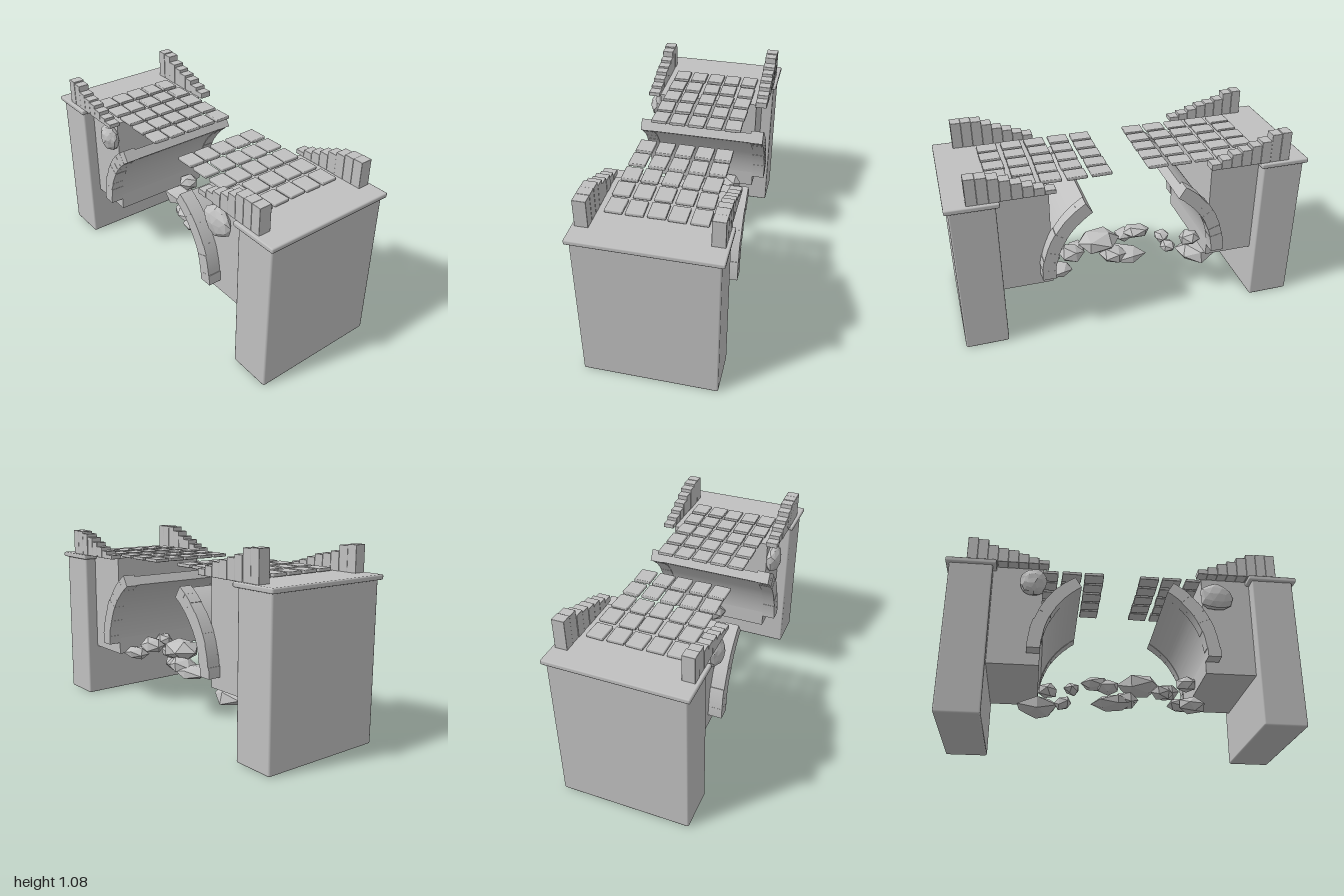
import * as THREE from 'three';
import { RoundedBoxGeometry } from 'three/addons/geometries/RoundedBoxGeometry.js';
import { toCreasedNormals } from 'three/addons/utils/BufferGeometryUtils.js';

const stone = new THREE.MeshStandardMaterial({ color: 0xc0c0c0 });
stone.name = 'stone';

// Small seeded generator for the irregular masonry
let seed = 7;
const rand = () => {
  seed = (seed * 16807) % 2147483647;
  return seed / 2147483647;
};
const jitter = (a) => (rand() * 2 - 1) * a;

function add(parent, name, geometry, x = 0, y = 0, z = 0) {
  const mesh = new THREE.Mesh(geometry, stone);
  mesh.name = name;
  mesh.position.set(x, y, z);
  parent.add(mesh);
  return mesh;
}

// Bevelled block given by its lower and upper corners
function block(parent, name, x0, x1, y0, y1, z0, z1, bevel = 0.006) {
  return add(parent, name, new RoundedBoxGeometry(x1 - x0, y1 - y0, z1 - z0, 1, bevel),
    (x0 + x1) / 2, (y0 + y1) / 2, (z0 + z1) / 2);
}

// Part of an arch ring between two radii and two angles, extruded along z
function arcSector(r0, r1, a0, a1, depth, segments) {
  const shape = new THREE.Shape();
  shape.absarc(0, 0, r1, a0, a1, false);
  shape.absarc(0, 0, r0, a1, a0, true);
  const g = new THREE.ExtrudeGeometry(shape, { depth, bevelEnabled: false, curveSegments: segments });
  return toCreasedNormals(g, 0.5);
}

// Faceted stone: icosahedron with each corner pushed in or out
function rockGeometry(w, h, d, detail, rough) {
  const g = new THREE.IcosahedronGeometry(1, detail);
  const p = g.attributes.position;
  const v = new THREE.Vector3();
  const scales = new Map();
  const turn = rand() * 6;
  for (let i = 0; i < p.count; i++) {
    v.fromBufferAttribute(p, i);
    const key = [v.x, v.y, v.z].map((n) => Math.round(n * 100)).join();
    if (!scales.has(key)) scales.set(key, 1 + jitter(rough));
    v.multiplyScalar(scales.get(key)).applyAxisAngle(new THREE.Vector3(0, 1, 0), turn);
    p.setXYZ(i, v.x * w / 2, v.y * h / 2, v.z * d / 2);
  }
  g.computeVertexNormals();
  return g;
}

const SPRING = 0.38;
const ARC = THREE.MathUtils.degToRad(58);

function buildHalf(side, parapetHeights) {
  const half = new THREE.Group();
  half.name = side > 0 ? 'leftHalf' : 'rightHalf';
  const span = (a, b) => (side > 0 ? [a, b] : [-b, -a]);

  // Abutment, its cap and the spandrel fill
  block(half, 'pier', ...span(0.74, 0.98), 0, 0.885, -0.367, 0.367, 0.01);
  block(half, 'pierCap', ...span(0.72, 1), 0.88, 0.908, -0.385, 0.385, 0.008);
  const [f0, f1] = span(0.457, 0.745);
  add(half, 'spandrelFill', new THREE.BoxGeometry(f1 - f0, 0.597, 0.6), (f0 + f1) / 2, 0.6085, 0);

  // Broken barrel vault
  const start = side > 0 ? 0 : Math.PI - ARC;
  add(half, 'vault', arcSector(0.458, 0.515, start, start + ARC, 0.6, 24), 0, SPRING, -0.3);

  // Arch stones on both faces
  const count = 9;
  const step = ARC / count;
  for (const face of [1, -1]) {
    for (let i = 0; i < count; i++) {
      const depth = 0.074 + jitter(0.002);
      const a = start + i * step;
      add(half, 'archStone', arcSector(0.455 + jitter(0.002), 0.528 + jitter(0.003), a, a + step, depth, 4),
        0, SPRING, face > 0 ? 0.3 : -0.3 - depth);
    }
  }

  // Parapets crumbling towards the gap
  parapetHeights.forEach((heights, k) => {
    const z = k === 0 ? 0.332 : -0.332;
    const w = 0.46 / heights.length;
    heights.forEach((h, i) => {
      const [x0, x1] = span(0.887 - (i + 1) * w, 0.887 - i * w);
      const d = 0.034 + jitter(0.002);
      block(half, 'parapetStone', x0, x1, 0.906, 0.906 + h, z - d, z + d, 0.003);
    });
  });

  // Paving slabs, running on past the broken vault
  const columns = [0.16, 0.295, 0.43, 0.565, 0.703];
  for (const cx of columns) {
    for (let r = -2; r <= 2; r++) {
      const slab = add(half, 'pavingSlab', new RoundedBoxGeometry(0.113, 0.019, 0.093, 1, 0.005),
        side * cx + jitter(0.003), 0.92, r * 0.108 + jitter(0.003));
      slab.rotation.y = jitter(0.03);
    }
  }
  return half;
}

export function createModel() {
  const model = new THREE.Group();
  model.name = 'ruinedBridge';

  // Parapet heights from the outer end inwards: front, then back
  model.add(buildHalf(-1, [
    [0.148, 0.14, 0.105, 0.09, 0.08, 0.06, 0.04, 0.025],
    [0.17, 0.165, 0.13, 0.112, 0.095, 0.08, 0.055, 0.035],
  ]));
  model.add(buildHalf(1, [
    [0.153, 0.153, 0.15, 0.125, 0.095, 0.075, 0.05, 0.03],
    [0.15, 0.148, 0.135, 0.115, 0.09, 0.065, 0.045, 0.025],
  ]));

  // Rough bulges on the front walls
  add(model, 'wallBulge', rockGeometry(0.15, 0.16, 0.09, 2, 0.08), -0.51, 0.808, 0.325);
  add(model, 'wallBulge', rockGeometry(0.19, 0.18, 0.09, 1, 0.1), 0.53, 0.78, 0.325);

  // Fallen rubble: x, y, z, width, height, depth
  const rubble = [
    [-0.46, 0.24, -0.15, 0.25, 0.12, 0.2],
    [-0.31, 0.235, -0.05, 0.11, 0.08, 0.1],
    [-0.4, 0.355, -0.17, 0.13, 0.09, 0.12],
    [-0.26, 0.33, -0.07, 0.1, 0.07, 0.1],
    [-0.13, 0.33, 0.03, 0.18, 0.08, 0.13],
    [-0.06, 0.305, 0.05, 0.13, 0.09, 0.11],
    [-0.02, 0.265, -0.1, 0.25, 0.09, 0.2],
    [0.06, 0.29, -0.11, 0.18, 0.11, 0.18],
    [0.14, 0.365, -0.06, 0.26, 0.13, 0.2],
    [0.32, 0.37, -0.14, 0.15, 0.1, 0.15],
    [0.41, 0.365, 0, 0.13, 0.09, 0.12],
    [0.41, 0.31, -0.21, 0.18, 0.08, 0.14],
    [0.27, 0.325, -0.05, 0.14, 0.09, 0.12],
    [0.41, 0.2, 0.09, 0.18, 0.1, 0.14],
  ];
  for (const [x, y, z, w, h, d] of rubble) {
    add(model, 'fallenRock', rockGeometry(w, h, d, 0, 0.14), x, y, z);
  }
  return model;
}
